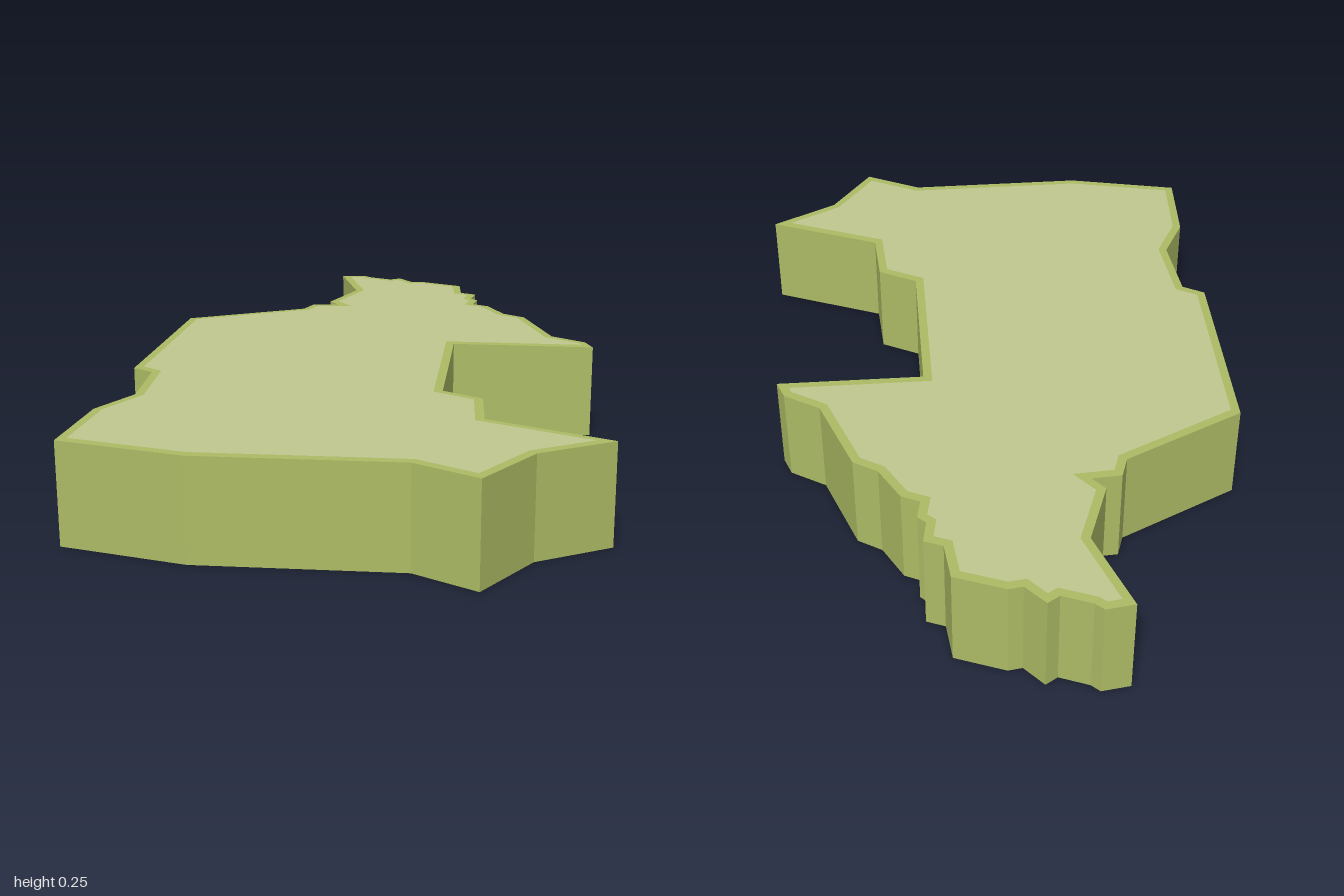
import * as THREE from 'three';

const HEIGHT = 0.248;
const RIM = 0.022;

// Outline as [x, z] corners, clockwise seen from above
const OUTLINE = [
  // ragged back edge
  [-0.21, -0.99], [-0.14, -1], [-0.12, -0.98], [-0.05, -0.95], [-0.02, -0.97],
  [0.025, -0.915], [0.06, -0.92], [0.18, -0.87],
  // stepped slope down to the back spur
  [0.19, -0.768], [0.235, -0.748], [0.225, -0.685], [0.245, -0.665], [0.235, -0.61],
  [0.28, -0.587], [0.33, -0.49], [0.39, -0.45], [0.47, -0.225], [0.56, -0.165], [0.58, -0.11],
  // square bay and front spur
  [0.205, -0.11], [0.205, 0.36], [0.305, 0.418], [0.315, 0.585], [0.61, 0.72],
  [0.435, 0.825], [0.325, 1],
  // front edge and right side
  [0.175, 0.915], [-0.31, 0.92], [-0.613, 0.845], [-0.595, 0.6], [-0.53, 0.47],
  [-0.54, 0.265], [-0.595, 0.23], [-0.575, -0.335], [-0.265, -0.495],
  [-0.245, -0.555], [-0.17, -0.56], [-0.2, -0.6], [-0.14, -0.77],
].map(([x, z]) => new THREE.Vector2(x, -z));

// Moves every edge inward by the same width, with mitred corners
function inset(points, width) {
  const normal = (a, b) => {
    const d = b.clone().sub(a).normalize();
    return new THREE.Vector2(d.y, -d.x);
  };
  return points.map((p, i) => {
    const n = points.length;
    const n1 = normal(points[(i + n - 1) % n], p);
    const n2 = normal(p, points[(i + 1) % n]);
    const scale = width / (1 + n1.dot(n2));
    return p.clone().add(n1.add(n2).multiplyScalar(scale));
  });
}

function part(name, geometry, color, y = 0) {
  geometry.rotateX(-Math.PI / 2);
  const mesh = new THREE.Mesh(geometry, new THREE.MeshStandardMaterial({ color }));
  mesh.name = name;
  mesh.position.y = y;
  return mesh;
}

export function createModel() {
  const group = new THREE.Group();
  group.name = 'regionSlab';

  // Thick slab with straight walls
  const slab = new THREE.ExtrudeGeometry(new THREE.Shape(OUTLINE), {
    depth: HEIGHT, bevelEnabled: false,
  });
  group.add(part('slab', slab, 0xacbb64));

  // Paler top surface, leaving a narrow rim of the slab showing
  const top = new THREE.ShapeGeometry(new THREE.Shape(inset(OUTLINE, RIM)));
  group.add(part('topSurface', top, 0xc0c890, HEIGHT + 0.001));

  return group;
}
